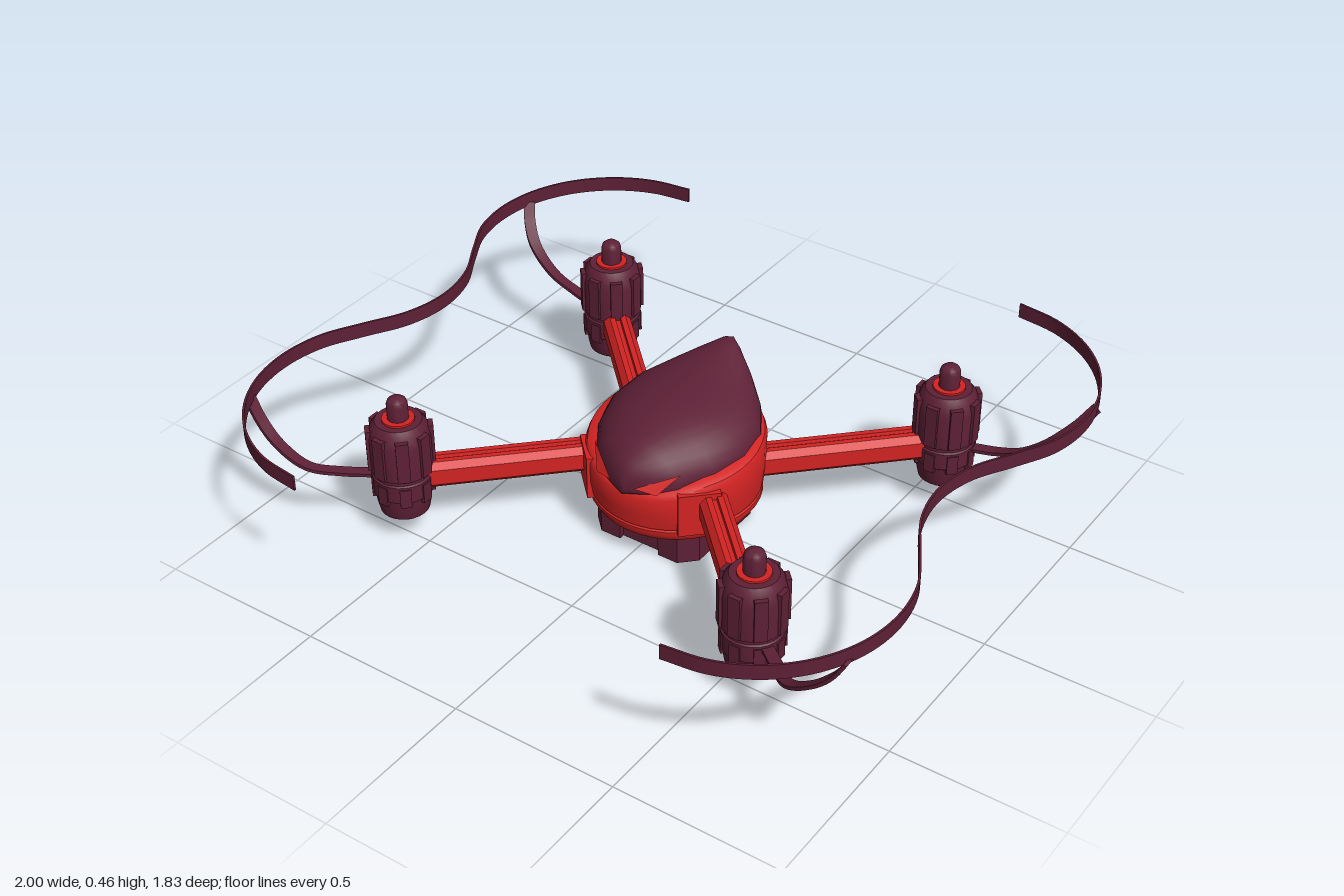
import * as THREE from 'three';
import { toCreasedNormals } from 'three/addons/utils/BufferGeometryUtils.js';

const V = (x, y, z) => new THREE.Vector3(x, y, z);

function indexed(positions, index) {
  const g = new THREE.BufferGeometry();
  g.setAttribute('position', new THREE.Float32BufferAttribute(positions, 3));
  g.setIndex(index);
  g.computeVertexNormals();
  return g;
}

// Sweep a flat rectangular section (width sideways, height upright) along a curve
function sweep(points, width, height, steps) {
  const curve = new THREE.CatmullRomCurve3(points), pos = [], idx = [];
  for (let i = 0; i <= steps; i++) {
    const p = curve.getPointAt(i / steps), t = curve.getTangentAt(i / steps);
    const side = V(0, 0, 0).crossVectors(t, V(0, 1, 0)).normalize();
    const up = V(0, 0, 0).crossVectors(side, t);
    for (const [s, u] of [[1, 1], [-1, 1], [-1, -1], [1, -1]]) {
      const q = p.clone().addScaledVector(side, s * width / 2).addScaledVector(up, u * height / 2);
      pos.push(q.x, q.y, q.z);
    }
    if (i < steps) for (let k = 0; k < 4; k++) {
      const a = i * 4 + k, b = i * 4 + (k + 1) % 4;
      idx.push(a, a + 4, b, b, a + 4, b + 4);
    }
  }
  const e = steps * 4;
  idx.push(0, 1, 2, 0, 2, 3, e, e + 2, e + 1, e, e + 3, e + 2);
  return toCreasedNormals(indexed(pos, idx), 0.6);
}

const lathe = (pts, sides) =>
  new THREE.LatheGeometry(pts.map(([r, y]) => new THREE.Vector2(r, y)), sides);

// Cup-shaped hull whose upper rim slopes down towards the front
function hullGeometry() {
  const g = lathe([[0, .08], [.21, .08], [.235, .09], [.247, .11], [.247, .126], [.238, .131], [.247, .137],
    [.255, .2], [.255, .275], [.248, .292], [.232, .3], [0, .3]], 40);
  const p = g.attributes.position;
  for (let i = 0; i < p.count; i++) {
    const y = p.getY(i), z = p.getZ(i), w = Math.max(0, (y - .11) / .19);
    p.setY(i, y - w * (.13 * z + .2 * Math.max(0, z - .14)));
  }
  return toCreasedNormals(g, 0.6);
}

// Canopy stations: z, half width, base height, top height
function canopyGeometry() {
  const stations = [[.262, .004, .25, .27], [.252, .04, .25, .302], [.235, .075, .25, .33], [.19, .14, .255, .365],
    [.1, .2, .27, .398], [0, .23, .285, .411], [-.1, .218, .3, .419], [-.18, .165, .33, .437],
    [-.23, .105, .365, .452], [-.265, .045, .41, .462], [-.285, .004, .44, .452]];
  const n = 32, pos = [], idx = [];
  stations.forEach(([z, w, base, top], i) => {
    for (let j = 0; j < n; j++) {
      const a = j / n * Math.PI * 2, s = Math.sin(a);
      const lift = s > 0 ? (top - base) * Math.pow(s, z < -.1 ? 1.2 : 1) : s * .015;
      pos.push(w * Math.cos(a), base + lift, z);
      if (i < stations.length - 1) {
        const p = i * n + j, q = i * n + (j + 1) % n;
        idx.push(p, p + n, q, q, p + n, q + n);
      }
    }
  });
  const end = (stations.length - 1) * n;
  for (let j = 1; j < n - 1; j++) idx.push(0, j, j + 1, end, end + j + 1, end + j);
  return indexed(pos, idx);
}

// Arm section with a groove on the top, bottom and both sides
function armGeometry(length) {
  const quarter = [[.041, .007], [.041, .024], [.024, .042], [.008, .042], [.006, .032]];
  const flip = (sx, sy, rev) => {
    const q = quarter.map(([x, y]) => new THREE.Vector2(x * sx, y * sy));
    return rev ? q.reverse() : q;
  };
  const outline = [...flip(1, 1), ...flip(-1, 1, true), ...flip(-1, -1), ...flip(1, -1, true)];
  return new THREE.ExtrudeGeometry(new THREE.Shape(outline), { depth: length, bevelEnabled: false });
}

// Block with chamfered corners and a shallow notch in each side
function batteryGeometry() {
  const pts = [], corner = [[.175, -.06], [.175, -.06], [.175, .13], [.13, .175], [.065, .175], [.065, .158]];
  corner[0] = [.158, .065];
  corner[1] = [.175, .065];
  for (let k = 0; k < 4; k++) for (const [x, y] of corner)
    pts.push(new THREE.Vector2(x, y).rotateAround(new THREE.Vector2(), k * Math.PI / 2));
  const g = new THREE.ExtrudeGeometry(new THREE.Shape(pts), { depth: .1, bevelEnabled: false });
  return g.rotateX(-Math.PI / 2).translate(0, 0, .01);
}

export function createModel() {
  const root = new THREE.Group();
  root.name = 'quadcopter';
  const red = new THREE.MeshStandardMaterial({ color: 0xd42323, side: THREE.DoubleSide });
  red.name = 'bright red';
  const dark = new THREE.MeshStandardMaterial({ color: 0x5e2036, side: THREE.DoubleSide });
  dark.name = 'dark maroon';
  const add = (parent, name, geometry, material, x = 0, y = 0, z = 0) => {
    const m = new THREE.Mesh(geometry, material);
    m.name = name;
    m.position.set(x, y, z);
    parent.add(m);
    return m;
  };

  // Central body
  add(root, 'hull', hullGeometry(), red);
  add(root, 'canopy', canopyGeometry(), dark);
  add(root, 'battery', batteryGeometry(), dark);
  for (const s of [1, -1]) {
    const tri = [.038 * s, .266, .261, .145 * s, .312, .186, .1 * s, .256, .24];
    add(root, 'eye', indexed(tri, s > 0 ? [0, 2, 1] : [0, 1, 2]), red);
    const shield = add(root, 'frontShield', new THREE.BoxGeometry(.12, .135, .04), red, .183 * s, .19, .158 * s * s);
    shield.rotation.y = s * Math.PI / 4;
  }

  // Shared motor parts
  const armGeo = armGeometry(.52);
  const motorGeo = toCreasedNormals(lathe([[0, .08], [.055, .08], [.07, .092], [.076, .12], [.08, .155], [.086, .16],
    [.086, .212], [.081, .216], [.081, .226], [.088, .23], [.088, .335], [.08, .37], [.066, .388], [0, .388]], 24), 0.5);
  const panelGeo = new THREE.BoxGeometry(.036, .13, .02);
  const lowerPanelGeo = new THREE.BoxGeometry(.032, .06, .02);
  const ringGeo = new THREE.CylinderGeometry(.046, .046, .012, 24);
  const pinGeo = toCreasedNormals(lathe([[.03, .38], [.03, .44], [.026, .452], [.015, .461], [0, .464]], 20), 0.6);
  const lampGeo = new THREE.SphereGeometry(.035, 20, 12);

  for (const sx of [1, -1]) for (const sz of [1, -1]) {
    // Arm
    const arm = add(root, 'arm', armGeo, red, .17 * sx, .205, .088 * sz);
    arm.rotation.y = Math.atan2(sx, sz);

    // Motor pod
    const motor = new THREE.Group();
    motor.name = 'motor';
    motor.position.set(.583 * sx, 0, .498 * sz);
    root.add(motor);
    add(motor, 'motorCasing', motorGeo, dark);
    add(motor, 'motorRing', ringGeo, red, 0, .388, 0);
    add(motor, 'rotorPin', pinGeo, dark);
    add(motor, 'motorLamp', lampGeo, red, 0, .083, 0);
    for (let k = 0; k < 8; k++) {
      const a = k * Math.PI / 4, s = Math.sin(a), c = Math.cos(a);
      add(motor, 'upperPanel', panelGeo, dark, .084 * s, .3, .084 * c).rotation.y = a;
      add(motor, 'lowerPanel', lowerPanelGeo, dark, .078 * s, .175, .078 * c).rotation.y = a;
    }

    // Guard strut
    const path = sz > 0
      ? [[.655, .2, .54], [.72, .21, .595], [.79, .235, .655], [.87, .29, .677], [.93, .35, .677], [.965, .41, .675]]
      : [[.665, .2, -.515], [.74, .21, -.527], [.82, .25, -.52], [.9, .315, -.533], [.95, .365, -.57], [.982, .41, -.61]];
    add(root, 'guardStrut', sweep(path.map(([x, y, z]) => V(x * sx, y, z)), .034, .01, 24), dark);
  }

  // Propeller guards: an arc round each motor joined by an inward bend
  for (const s of [1, -1]) {
    const half = [];
    for (let k = 0; k <= 7; k++) {
      const a = k / 7 * 2.2;
      half.push([.583 + .414 * Math.sin(a), -.498 - .414 * Math.cos(a)]);
    }
    half.push([.85, -.13]);
    const all = [...half, [.826, 0], ...half.map(([x, z]) => [x, -z]).reverse()];
    add(root, 'propellerGuard', sweep(all.map(([x, z]) => V(x * s, .423, z)), .006, .045, 96), dark);
  }
  return root;
}
